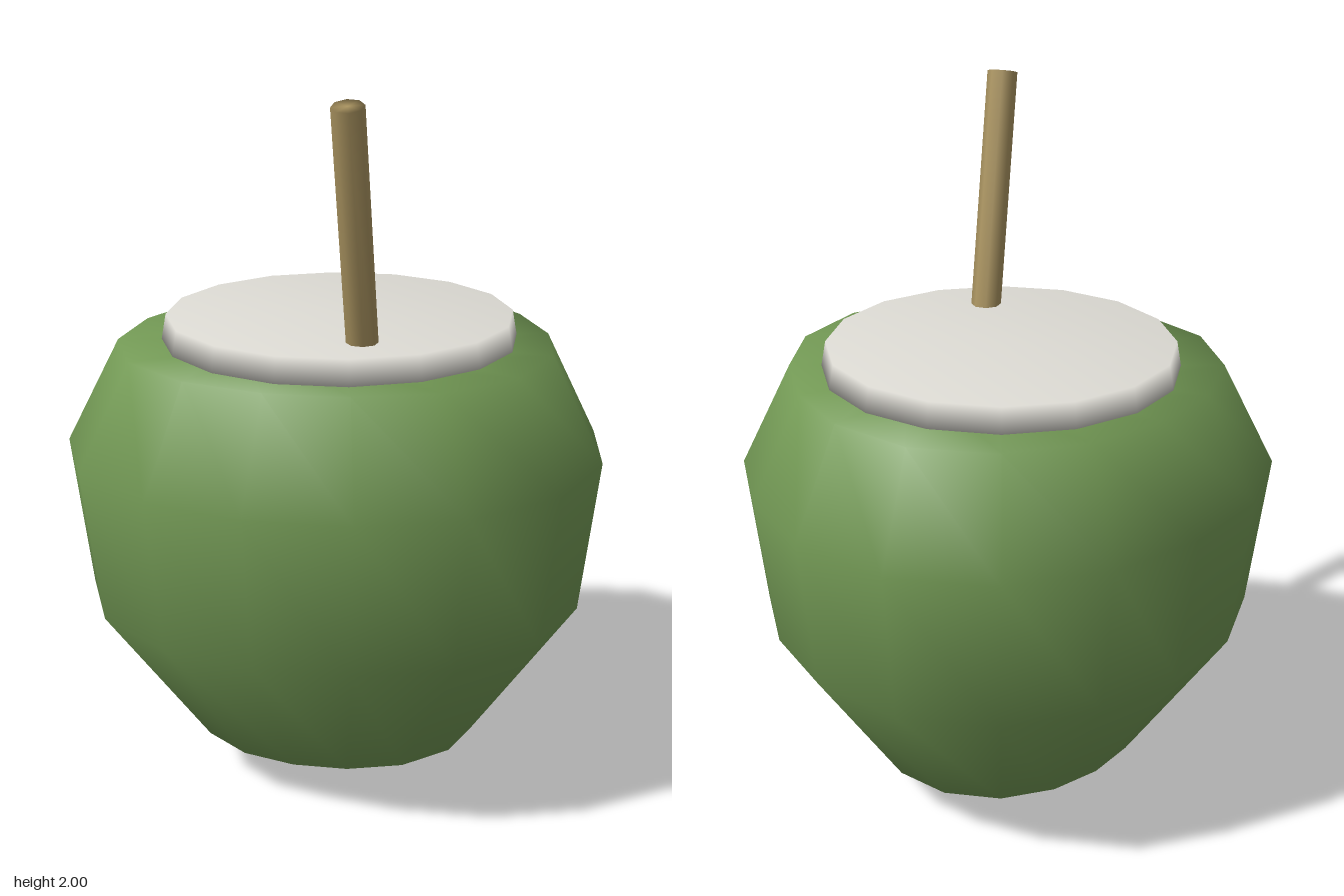
import * as THREE from 'three';
import { mergeVertices } from 'three/addons/utils/BufferGeometryUtils.js';

const CENTRE_X = -0.03;

// Closed solid of revolution from [radius, height] pairs, bottom to top
const lathe = (profile, sides) =>
  new THREE.LatheGeometry(profile.map(([r, y]) => new THREE.Vector2(r, y)), sides);

function createHusk(material) {
  const geometry = lathe(
    [[0, 0], [0.403, 0.135], [0.695, 0.555], [0.748, 0.99], [0.603, 1.28], [0.35, 1.28], [0, 1.28]], 16);

  // Swell the round shell into three soft lobes
  const pos = geometry.attributes.position;
  for (let i = 0; i < pos.count; i++) {
    const x = pos.getX(i), z = pos.getZ(i);
    const swell = 1 + 0.037 * Math.cos(3 * Math.atan2(z, x));
    pos.setX(i, x * swell);
    pos.setZ(i, z * swell);
  }

  // Weld seam and poles so the shading is smooth all round
  geometry.deleteAttribute('normal');
  geometry.deleteAttribute('uv');
  const welded = mergeVertices(geometry, 1e-4);
  welded.computeVertexNormals();
  const husk = new THREE.Mesh(welded, material);
  husk.name = 'husk';
  husk.position.x = CENTRE_X;
  return husk;
}

function createFlesh(material) {
  // Pale disc standing slightly proud of the cut top
  const flesh = new THREE.Mesh(
    lathe([[0, 1.278], [0.498, 1.278], [0.485, 1.35], [0, 1.35]], 16), material);
  flesh.name = 'flesh';
  flesh.position.x = CENTRE_X;
  return flesh;
}

function createStraw(material) {
  // Leaning straw, sunk a little into the flesh
  const base = new THREE.Vector3(0.209, 1.2, 0.162);
  const tip = new THREE.Vector3(0.325, 1.99, 0.36);
  const axis = tip.clone().sub(base);
  const length = axis.length();
  const straw = new THREE.Mesh(
    lathe([[0, 0], [0.043, 0], [0.043, length], [0, length]], 8), material);
  straw.name = 'straw';
  straw.position.copy(base);
  straw.quaternion.setFromUnitVectors(new THREE.Vector3(0, 1, 0), axis.normalize());
  return straw;
}

export function createModel() {
  const paint = (name, color) => {
    const material = new THREE.MeshStandardMaterial({ color });
    material.name = name;
    return material;
  };
  const model = new THREE.Group();
  model.name = 'coconutDrink';
  model.add(
    createHusk(paint('husk green', 0x729854)),
    createFlesh(paint('flesh white', 0xdedcd5)),
    createStraw(paint('straw tan', 0xa8925f)));
  return model;
}
